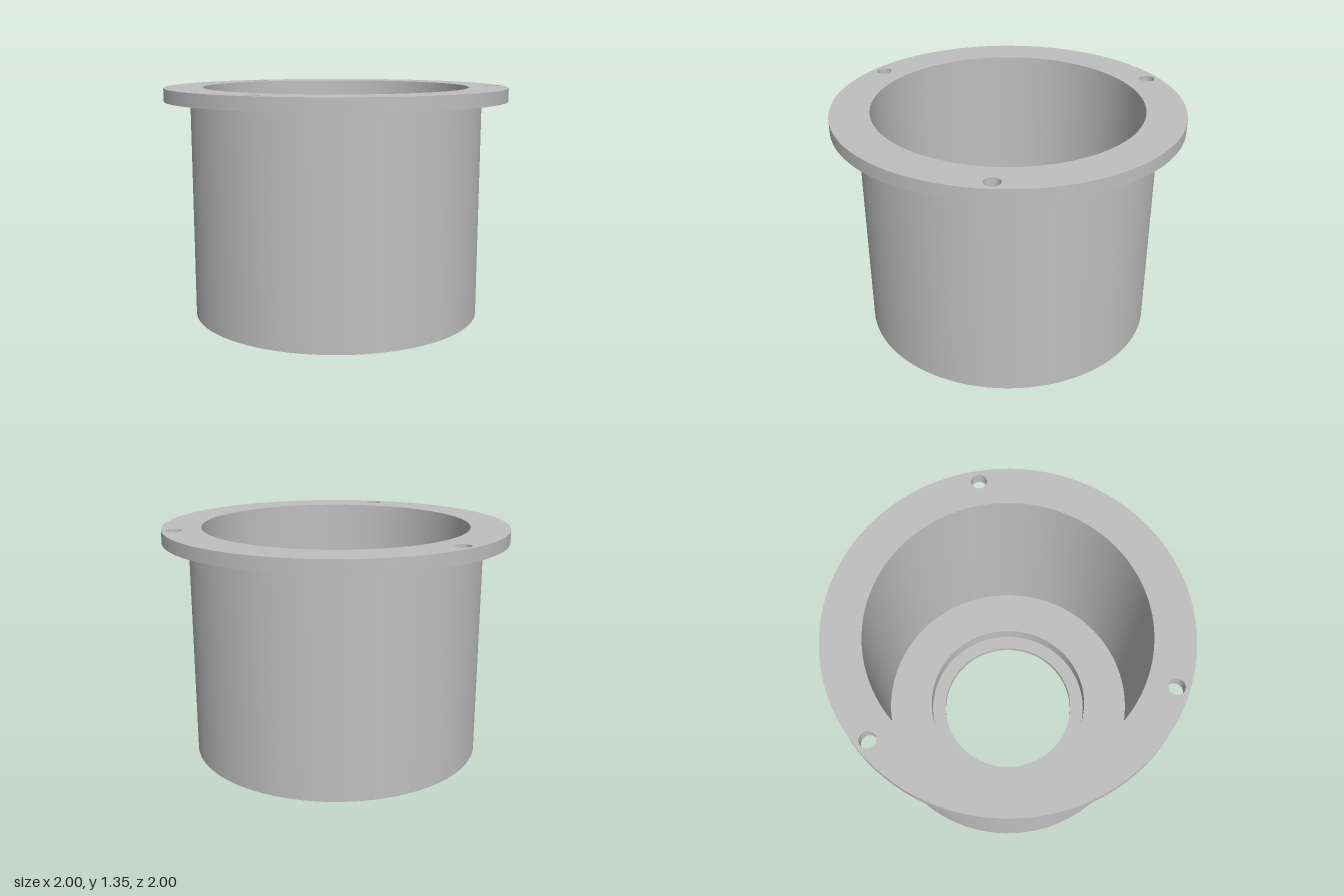
import * as THREE from 'three';
import { toCreasedNormals } from 'three/addons/utils/BufferGeometryUtils.js';

const FLANGE_Y = 1.27, HEIGHT = 1.345;
const BORE = 0.775;

export function createModel() {
  const model = new THREE.Group();
  model.name = 'flangedCup';
  const grey = new THREE.MeshStandardMaterial({ color: 0xbfbfbf });
  grey.name = 'plain grey';

  const add = (name, geometry) => {
    const mesh = new THREE.Mesh(toCreasedNormals(geometry, Math.PI / 6), grey);
    mesh.name = name;
    model.add(mesh);
    return mesh;
  };

  // Cup: closed wall section with a bottom opening and a recessed seat in the floor
  const section = [
    [0.42, 0], [0.85, 0], [0.85, FLANGE_Y], [BORE, FLANGE_Y],
    [BORE, 0.14], [0.505, 0.14], [0.505, 0.035], [0.42, 0.035], [0.42, 0],
  ].map(([r, y]) => new THREE.Vector2(r, y));
  add('cupBody', new THREE.LatheGeometry(section, 96));

  // Flange: ring with three evenly spaced bolt holes
  const ring = new THREE.Shape().absarc(0, 0, 1, 0, Math.PI * 2);
  const cut = (x, y, r) => ring.holes.push(new THREE.Path().absarc(x, y, r, 0, Math.PI * 2, true));
  cut(0, 0, BORE);
  for (let i = 0; i < 3; i++) {
    const a = (i * Math.PI * 2) / 3;
    cut(0.93 * Math.cos(a), 0.93 * Math.sin(a), 0.045);
  }
  const flange = new THREE.ExtrudeGeometry(ring, {
    depth: HEIGHT - FLANGE_Y, bevelEnabled: false, curveSegments: 48,
  });
  flange.rotateX(-Math.PI / 2);
  add('topFlange', flange).position.y = FLANGE_Y;

  return model;
}
